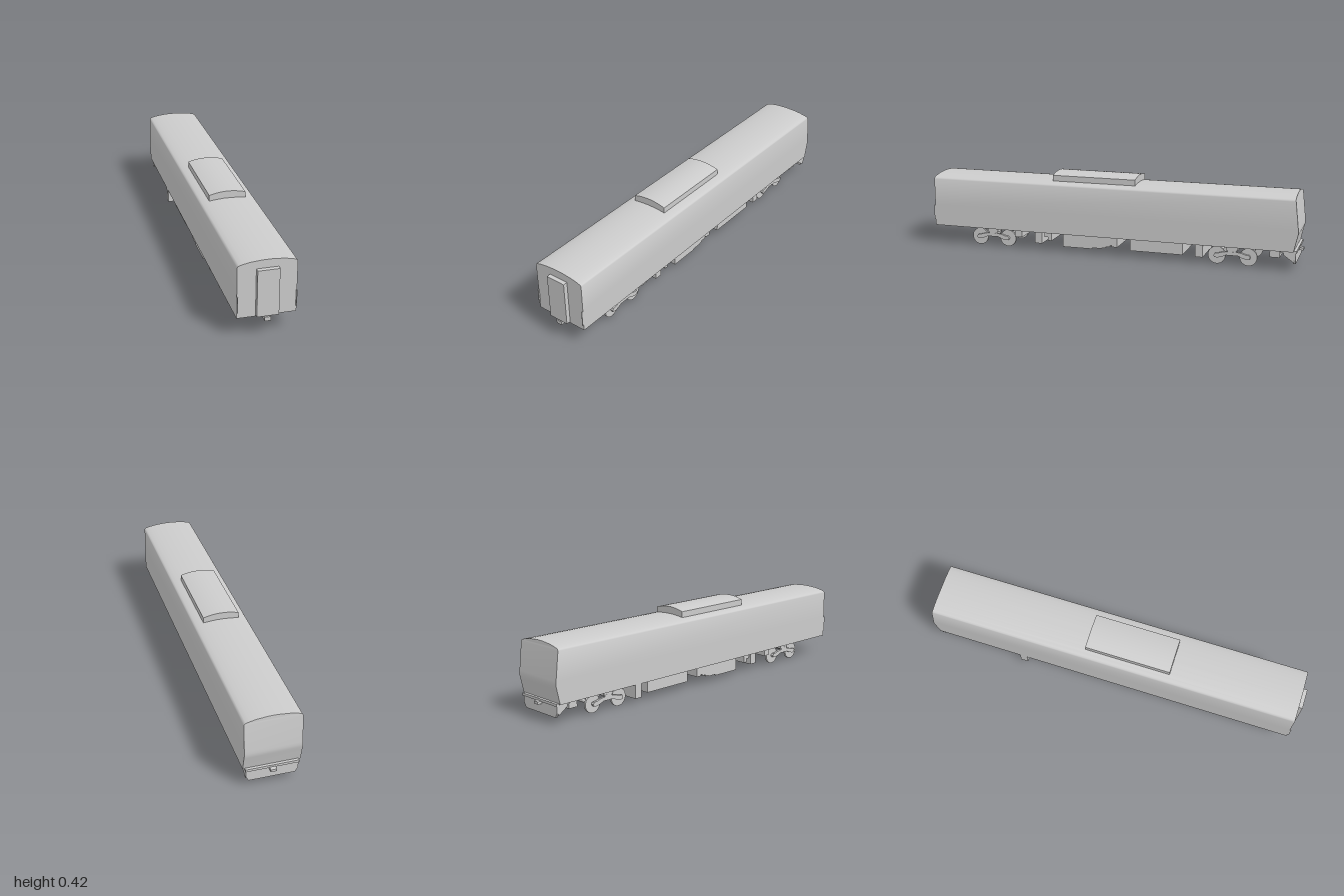
import * as THREE from 'three';
import { toCreasedNormals } from 'three/addons/utils/BufferGeometryUtils.js';

const material = new THREE.MeshStandardMaterial({ color: 0xcccccc });

function add(parent, name, geometry) {
  const mesh = new THREE.Mesh(geometry, material);
  mesh.name = name;
  parent.add(mesh);
  return mesh;
}

// Box given by its limits on each axis
function box(parent, name, x0, x1, y0, y1, z0, z1) {
  const g = new THREE.BoxGeometry(x1 - x0, y1 - y0, z1 - z0);
  g.translate((x0 + x1) / 2, (y0 + y1) / 2, (z0 + z1) / 2);
  return add(parent, name, g);
}

// Side profile of [z, y] points, extruded from x0 to x1
function sideProfile(parent, name, points, x0, x1) {
  const shape = new THREE.Shape(points.map(([z, y]) => new THREE.Vector2(z, y)));
  const g = new THREE.ExtrudeGeometry(shape, { depth: x1 - x0, bevelEnabled: false });
  g.rotateY(-Math.PI / 2).translate(x1, 0, 0);
  return add(parent, name, g);
}

// Cross-section of [x, y] points, extruded from z0 to z1
function section(parent, name, points, z0, z1) {
  const shape = new THREE.Shape(points.map(([x, y]) => new THREE.Vector2(x, y)));
  const g = new THREE.ExtrudeGeometry(shape, { depth: z1 - z0, bevelEnabled: false });
  g.translate(0, 0, z0);
  return add(parent, name, toCreasedNormals(g, 0.5));
}

// Car body: rows of half width, height and rear end position
function body(parent) {
  const rows = [
    [0.14, 0.1, -0.965], [0.14, 0.175, -0.982], [0.14, 0.187, -0.985], [0.14, 0.2, -0.986],
    [0.14, 0.215, -0.985], [0.14, 0.355, -0.969], [0.137, 0.361, -0.968], [0.13, 0.365, -0.967],
    [0.11, 0.3705, -0.967], [0.08, 0.376, -0.966], [0.05, 0.379, -0.966], [0.02, 0.381, -0.965],
  ];
  const n = rows.length - 1;
  const g = new THREE.BoxGeometry(2, 1, 2, 1, n, 1);
  const p = g.attributes.position;
  for (let i = 0; i < p.count; i++) {
    const [w, y, back] = rows[Math.round((p.getY(i) + 0.5) * n)];
    p.setXYZ(i, Math.sign(p.getX(i)) * w, y, p.getZ(i) > 0 ? 0.978 : back);
  }
  add(parent, 'body', toCreasedNormals(g, 0.7));
}

// Two-axle bogie centred on the given z
function bogie(parent, name, z) {
  const group = new THREE.Group();
  group.name = name;
  group.position.z = z;
  parent.add(group);
  for (const az of [-0.081, 0.081]) {
    const axle = new THREE.CylinderGeometry(0.009, 0.009, 0.224, 16);
    axle.rotateZ(Math.PI / 2).translate(0, 0.046, az);
    add(group, 'axle', toCreasedNormals(axle, 0.7));
    for (const x of [-0.087, 0.09]) {
      const wheel = new THREE.CylinderGeometry(0.045, 0.045, 0.011, 32);
      wheel.rotateZ(Math.PI / 2).translate(x, 0.045, az);
      add(group, 'wheel', toCreasedNormals(wheel, 0.7));
    }
  }
  // Gull-shaped side frames with a spring block on the middle
  const half = [[0.03, 0.052], [0.052, 0.042], [0.075, 0.036], [0.09, 0.038], [0.094, 0.048],
    [0.088, 0.058], [0.07, 0.06], [0.052, 0.066], [0.03, 0.07]];
  const outline = [...half, ...half.map(([a, b]) => [-a, b]).reverse()];
  for (const s of [-1, 1]) {
    const x0 = s > 0 ? 0.1 : -0.113;
    sideProfile(group, 'sideFrame', outline, x0, x0 + 0.013);
    box(group, 'springBlock', x0, x0 + 0.012, 0.066, 0.082, -0.022, 0.022);
    const b0 = s > 0 ? 0.05 : -0.112;
    box(group, 'bolster', b0, b0 + 0.062, 0.077, 0.102, -0.03, 0.03);
  }
}

export function createModel() {
  const model = new THREE.Group();
  model.name = 'railCar';
  body(model);

  // Roof unit with a gently arched top
  const arch = [[-0.095, 0.365], [0.091, 0.365]];
  for (let i = 0; i <= 12; i++) {
    const t = 1 - i / 6;
    arch.push([-0.002 + 0.093 * t, 0.418 - 0.014 * t * t]);
  }
  section(model, 'roofUnit', arch, -0.14, 0.31);

  // Front end
  box(model, 'gangway', -0.052, 0.052, 0.107, 0.34, 0.97, 1);
  box(model, 'frontCoupler', -0.015, 0.015, 0.081, 0.101, 0.935, 1);
  for (const s of [-1, 1]) {
    const x = s * 0.138;
    box(model, 'cornerStep', x - 0.002, x + 0.002, 0.13, 0.21, 0.97, 0.985);
  }

  // Rear end: ledge, coupler and tapered pilot plate
  box(model, 'rearLedge', -0.13, 0.13, 0.092, 0.105, -0.98, -0.9);
  box(model, 'rearCoupler', -0.015, 0.015, 0.082, 0.095, -1, -0.95);
  const pilot = section(model, 'pilot', [[-0.127, 0.1], [-0.127, 0.058], [-0.112, 0.035],
    [0.112, 0.035], [0.127, 0.058], [0.127, 0.1]], -0.975, -0.962);
  pilot.geometry.computeBoundingBox();
  for (const s of [-1, 1]) {
    const x = s * 0.123;
    sideProfile(model, 'pilotSide', [[-0.915, 0.1], [-0.915, 0.08], [-0.965, 0.045], [-0.972, 0.1]],
      x - 0.004, x + 0.004);
  }

  bogie(model, 'frontBogie', 0.653);
  bogie(model, 'rearBogie', -0.655);

  // Underfloor equipment: [x0, x1, bottom, z0, z1]
  const boxes = [
    [-0.112, 0.112, 0.06, 0.485, 0.525],
    [-0.112, 0.112, 0.034, 0.37, 0.41],
    [-0.112, 0.112, 0.072, 0.315, 0.355],
    [-0.112, 0.112, 0.053, 0.315, 0.335],
    [-0.112, 0.112, 0.034, -0.4, -0.12],
    [-0.14, 0.112, 0.03, -0.505, -0.465],
    [-0.112, 0.112, 0.06, -0.895, -0.845],
  ];
  for (const [x0, x1, bottom, z0, z1] of boxes) box(model, 'equipmentBox', x0, x1, bottom, 0.101, z0, z1);

  // Stepped central unit
  sideProfile(model, 'steppedUnit', [[0.25, 0.101], [-0.05, 0.101], [-0.05, 0.045], [-0.02, 0.045],
    [-0.02, 0.052], [-0.01, 0.052], [-0.01, 0.044], [0.015, 0.044], [0.015, 0.036], [0.035, 0.036],
    [0.035, 0.032], [0.09, 0.032], [0.09, 0.026], [0.25, 0.026]], -0.114, 0.11);
  return model;
}
